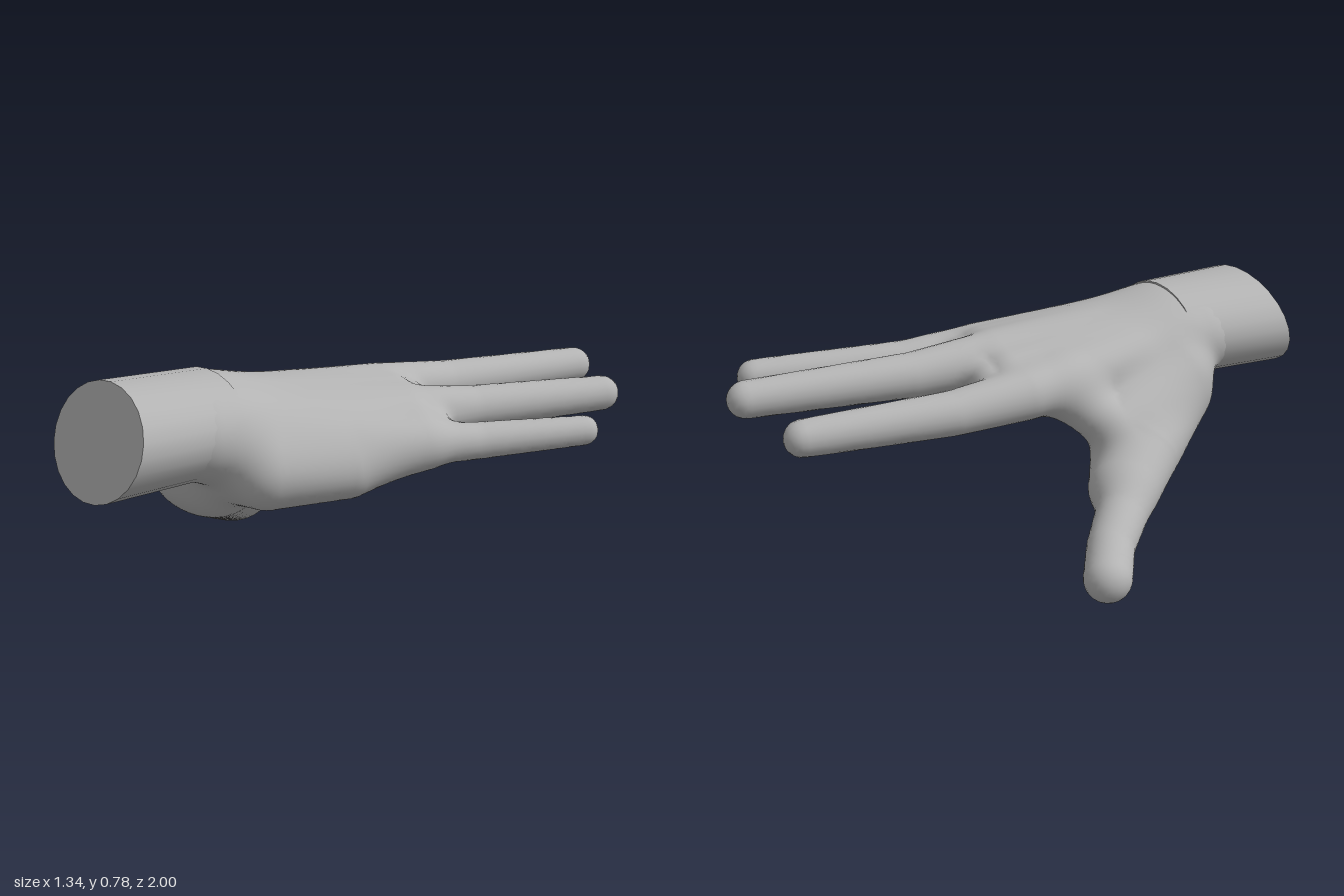
import * as THREE from 'three';

const skin = new THREE.MeshStandardMaterial({ color: 0xb3b3b3 });
skin.name = 'plain grey';

const BLEND = 0.07;
const lerp = THREE.MathUtils.lerp;
const mix = (a, b, t) => a.map((v, i) => lerp(v, b[i], t));

// A chain is a run of round joints [x, y, z, radius], tapered in between.
// Its first `inPalm` spans belong to the palm, the rest to the named part.
const chain = (part, joints, inPalm = 0, squash = 1) => ({ part, joints, inPalm, squash });

// A finger runs from the wrist over its knuckle and a slight bend to the tip
function finger(part, knuckle, tip, radius) {
  const root = [0.024 + 0.4 * knuckle[0], 0.325 + 0.5 * knuckle[1], 0.62, 0.11];
  const [x, y, z] = mix(knuckle, tip, 0.35);
  const bend = [x - 0.015, y - 0.01, z, radius * 1.22];
  return chain(part, [root, [...knuckle, radius * 1.43], bend, [...tip, radius]], 1);
}

const fingers = [
  finger('indexFinger', [-0.115, 0.545, -0.1], [-0.055, 0.52, -0.86], 0.06),
  finger('middleFinger', [0.11, 0.61, -0.1], [0.195, 0.585, -0.94], 0.061),
  finger('ringFinger', [0.3, 0.58, -0.05], [0.465, 0.558, -0.8], 0.059),
  finger('littleFinger', [0.455, 0.52, 0], [0.625, 0.505, -0.55], 0.049),
];

// Flesh between neighbouring fingers, ending in the webs past the knuckles
const fillings = fingers.slice(1).map((next, i) => {
  const [root, knuckle, bend] = fingers[i].joints.map((joint, j) => mix(joint, next.joints[j], 0.5));
  const web = mix(knuckle, bend, 0.24);
  return chain('palm', [root, knuckle, web].map(([x, y, z, r], j) => [x, y, z, j < 2 ? r * 0.92 : 0.052]));
});

const thumb = chain('thumb', [
  [-0.06, 0.43, 0.5, 0.15], [-0.23, 0.31, 0.28, 0.125], [-0.41, 0.19, 0.08, 0.085],
  [-0.5, 0.135, -0.02, 0.077], [-0.595, 0.08, -0.092, 0.078]], 2);
const ballOfThumb = chain('palm', [[0.02, 0.41, 0.47, 0.14], [-0.15, 0.31, 0.29, 0.135], [-0.3, 0.235, 0.14, 0.095]]);
const thumbWeb = chain('palm', [[-0.1, 0.5, 0.5, 0.11], [-0.2, 0.41, 0.18, 0.085], [-0.09, 0.52, 0.06, 0.085]]);
const heel = chain('palm', [
  [0.05, 0.46, 0.49, 0.125], [0.31, 0.49, 0.49, 0.122], [0.395, 0.475, 0.25, 0.098], [0.44, 0.515, 0, 0.07]]);
const wristCore = chain('palm', [[0.0875, 0.61, 0.66, 0.22], [0.0875, 0.61, 0.6, 0.215]], 0, 0.71);

const chains = [wristCore, ...fingers, ...fillings, thumb, ballOfThumb, thumbWeb, heel];

// Distance from a point to one tapered span
function spanDistance(x, y, z, a, b, squash) {
  const dx = b[0] - a[0], dy = b[1] - a[1], dz = b[2] - a[2];
  const px = x - a[0], py = y - a[1], pz = z - a[2];
  const t = THREE.MathUtils.clamp((px * dx + py * dy + pz * dz) / (dx * dx + dy * dy + dz * dz), 0, 1);
  return (Math.hypot(px - dx * t, (py - dy * t) / squash, pz - dz * t) - lerp(a[3], b[3], t)) * squash;
}

// Smoothly blended distance to the whole hand
function field(x, y, z) {
  let total = 10;
  for (const { joints, squash } of chains) {
    let d = 10;
    for (let i = 1; i < joints.length; i++) d = Math.min(d, spanDistance(x, y, z, joints[i - 1], joints[i], squash));
    const h = Math.max(0, BLEND - Math.abs(total - d));
    total = Math.min(total, d) - (h * h) / (4 * BLEND);
  }
  return total;
}

function gradient({ x, y, z }) {
  const e = 0.012;
  return new THREE.Vector3(
    field(x + e, y, z) - field(x - e, y, z),
    field(x, y + e, z) - field(x, y - e, z),
    field(x, y, z + e) - field(x, y, z - e)).divideScalar(2 * e);
}

// Name of the part whose span is nearest
function partAt(p) {
  let best = 10, name = 'palm';
  for (const { part, joints, squash, inPalm } of chains) {
    for (let i = 1; i < joints.length; i++) {
      const d = spanDistance(p.x, p.y, p.z, joints[i - 1], joints[i], squash);
      if (d < best) { best = d; name = i <= inPalm ? 'palm' : part; }
    }
  }
  return name;
}

// Skin the blended shape with a regular net of quads, sorted by part
function skinParts() {
  const step = 0.02, origin = [-0.76, -0.06, -1.07], size = [76, 47, 102];
  const stride = [1, size[0], size[0] * size[1]];
  const values = new Float32Array(size[0] * size[1] * size[2]);
  const vertexOf = new Int32Array(values.length).fill(-1);
  const each = (start, end, visit) => {
    for (let k = start; k < size[2] - end; k++)
      for (let j = start; j < size[1] - end; j++)
        for (let i = start; i < size[0] - end; i++) visit([i, j, k], i + j * stride[1] + k * stride[2]);
  };
  each(0, 0, (c, n) => { values[n] = field(...c.map((v, a) => origin[a] + v * step)); });

  // one vertex in every cell the surface passes through
  const points = [], normals = [];
  each(0, 1, (c, n) => {
    const sum = [0, 0, 0];
    let hits = 0;
    for (let corner = 0; corner < 8; corner++) {
      const bits = [corner & 1, (corner >> 1) & 1, corner >> 2];
      const m = n + bits[0] + bits[1] * stride[1] + bits[2] * stride[2];
      for (let a = 0; a < 3; a++) {
        if (bits[a]) continue;
        const v0 = values[m], v1 = values[m + stride[a]];
        if ((v0 < 0) === (v1 < 0)) continue;
        for (let q = 0; q < 3; q++) sum[q] += bits[q] + (q === a ? v0 / (v0 - v1) : 0);
        hits++;
      }
    }
    if (!hits) return;
    const p = new THREE.Vector3(...c.map((v, a) => origin[a] + (v + sum[a] / hits) * step));
    const g = gradient(p);
    p.addScaledVector(g, -field(p.x, p.y, p.z) / Math.max(g.lengthSq(), 0.3));
    vertexOf[n] = points.length;
    points.push(p);
    normals.push(gradient(p).normalize());
  });

  // one quad around every grid edge that crosses the surface
  const faces = {};
  each(1, 1, (c, n) => {
    const inside = values[n] < 0;
    for (let a = 0; a < 3; a++) {
      if (inside === (values[n + stride[a]] < 0)) continue;
      const b = stride[(a + 1) % 3], d = stride[(a + 2) % 3];
      const quad = [n, n - b, n - b - d, n - d].map((cell) => vertexOf[cell]);
      if (!inside) quad.reverse();
      const [p, q, r, s] = quad;
      const centre = points[p].clone().lerp(points[r], 0.5);
      (faces[partAt(centre)] ??= []).push(p, q, r, p, r, s);
    }
  });

  return Object.entries(faces).map(([name, corners]) => {
    const used = [...new Set(corners)];
    const local = new Map(used.map((v, i) => [v, i]));
    const geometry = new THREE.BufferGeometry();
    const attribute = (list) => new THREE.Float32BufferAttribute(used.flatMap((v) => list[v].toArray()), 3);
    geometry.setAttribute('position', attribute(points));
    geometry.setAttribute('normal', attribute(normals));
    geometry.setIndex(corners.map((v) => local.get(v)));
    return [name, geometry];
  });
}

// Oval wrist stump with a flat, slanted end
function wristGeometry() {
  const geometry = new THREE.CylinderGeometry(1, 0.94, 1, 24).rotateX(Math.PI / 2);
  const pos = geometry.attributes.position;
  for (let i = 0; i < pos.count; i++) {
    const y = 0.175 * pos.getY(i);
    pos.setXYZ(i, 0.0875 + 0.245 * pos.getX(i), 0.61 + y, pos.getZ(i) > 0 ? 0.945 - 0.314 * y : 0.55);
  }
  geometry.computeVertexNormals();
  return geometry;
}

export function createModel() {
  const hand = new THREE.Group();
  hand.name = 'hand';
  for (const [name, geometry] of [...skinParts(), ['wrist', wristGeometry()]]) {
    const mesh = new THREE.Mesh(geometry, skin);
    mesh.name = name;
    hand.add(mesh);
  }
  return hand;
}
